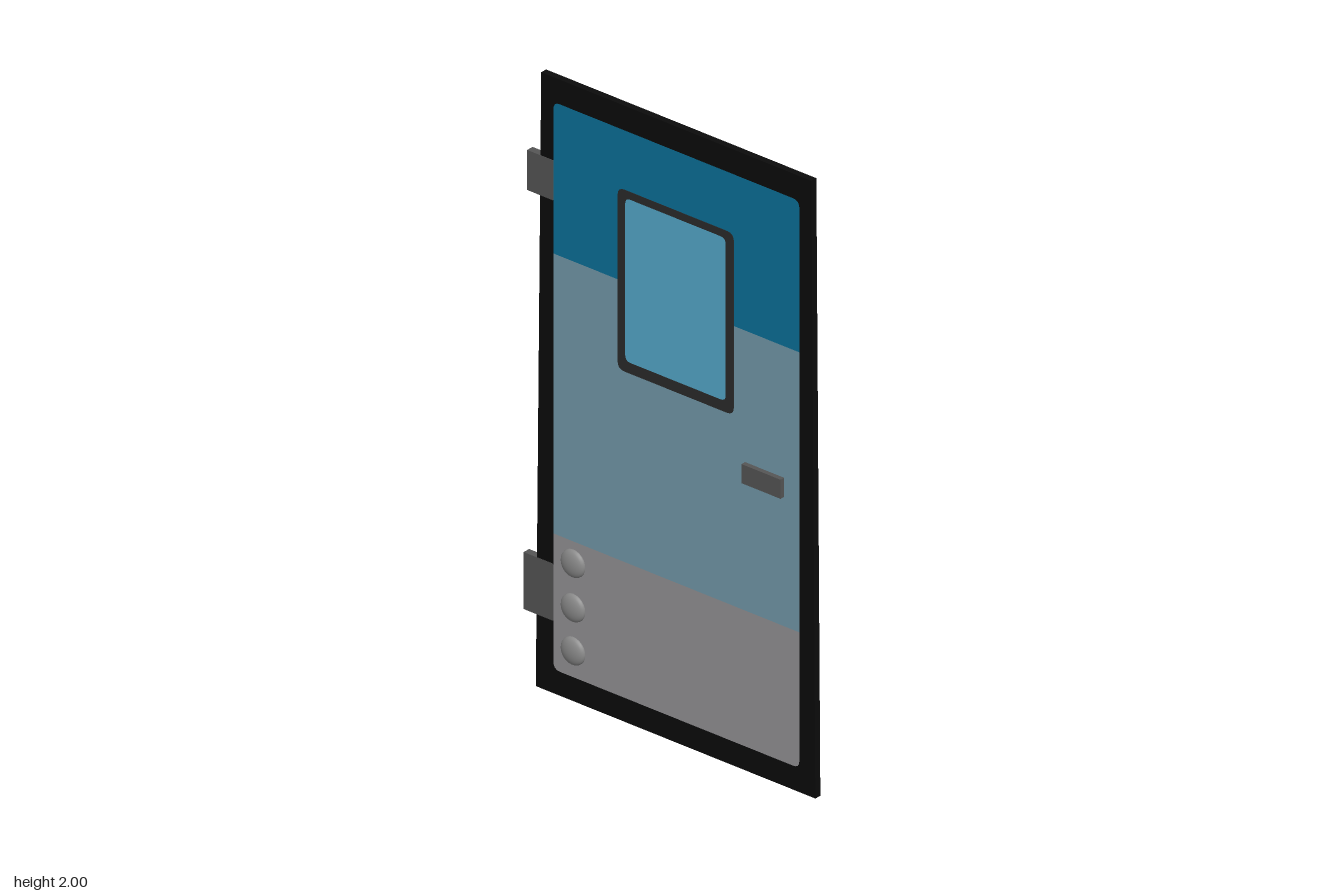
import * as THREE from 'three';

const mat = (name, color) => {
  const m = new THREE.MeshStandardMaterial({ color });
  m.name = name;
  return m;
};

// Rounded rectangle outline from its left, bottom, right and top edges
function roundRect(path, l, b, r, t, c) {
  path.moveTo(l + c, b);
  path.lineTo(r - c, b).quadraticCurveTo(r, b, r, b + c);
  path.lineTo(r, t - c).quadraticCurveTo(r, t, r - c, t);
  path.lineTo(l + c, t).quadraticCurveTo(l, t, l, t - c);
  path.lineTo(l, b + c).quadraticCurveTo(l, b, l + c, b);
  return path;
}

export function createModel() {
  const door = new THREE.Group();
  door.name = 'door';
  const black = mat('black frame', 0x0b0b0b);
  const blue = mat('deep blue', 0x0b719a);
  const pale = mat('pale blue', 0x7399aa);
  const grey = mat('kick plate grey', 0x949396);
  const trim = mat('window trim', 0x2b2b2b);
  const glass = mat('window glass', 0x55a9cb);
  const iron = mat('hinge grey', 0x555555);
  const steel = mat('rivet grey', 0x8a8a8a);
  const midZ = -0.01;

  const add = (name, geometry, material) => {
    const mesh = new THREE.Mesh(geometry, material);
    mesh.name = name;
    door.add(mesh);
    return mesh;
  };
  // Box given by its edges and its back and front z
  const box = (name, l, b, r, t, z0, z1, material) =>
    add(name, new THREE.BoxGeometry(r - l, t - b, z1 - z0), material)
      .position.set((l + r) / 2, (b + t) / 2, (z0 + z1) / 2);
  // Flat shape extruded evenly about the middle of the door
  const slab = (name, shape, depth, material) => {
    const g = new THREE.ExtrudeGeometry(shape, { depth, bevelEnabled: false, curveSegments: 4 });
    g.translate(0, 0, midZ - depth / 2);
    add(name, g, material);
  };

  // Tapered outer frame around the rounded panel opening
  const outer = new THREE.Shape([[-0.505, 0], [0.545, 0], [0.53, 2], [-0.485, 2]]
    .map(([x, y]) => new THREE.Vector2(x, y)));
  outer.holes.push(roundRect(new THREE.Path(), -0.44, 0.077, 0.485, 1.92, 0.025));
  slab('doorFrame', outer, 0.022, black);

  // Three colour bands of the panel, tucked under the frame
  const bands = [['lowerBand', 0.06, 0.518, grey], ['middleBand', 0.518, 1.427, pale],
    ['upperBand', 1.427, 1.94, blue]];
  for (const [name, b, t, m] of bands) box(name, -0.46, b, 0.505, t, midZ - 0.01, midZ + 0.01, m);

  // Window trim and pane, seen from both sides
  const surround = roundRect(new THREE.Shape(), -0.198, 1.137, 0.238, 1.727, 0.025);
  surround.holes.push(roundRect(new THREE.Path(), -0.17, 1.172, 0.208, 1.702, 0.02));
  slab('windowTrim', surround, 0.022, trim);
  box('windowPane', -0.185, 1.155, 0.223, 1.714, midZ - 0.0105, midZ + 0.0105, glass);

  // Hinges wrap the edge on the right-hand side
  box('upperHinge', -0.537, 1.6, -0.44, 1.73, -0.0225, 0.002, iron);
  box('lowerHinge', -0.55, 0.235, -0.44, 0.42, -0.0225, 0.002, iron);

  // Handle plate
  box('handle', 0.28, 0.938, 0.427, 1.0, -0.002, 0.016, iron);

  // Domed rivets
  for (const y of [0.447, 0.303, 0.163]) {
    const dome = new THREE.SphereGeometry(0.045, 24, 8, 0, Math.PI * 2, 0, Math.PI / 2);
    dome.rotateX(Math.PI / 2).scale(1, 1, 0.43);
    add('rivet', dome, steel).position.set(-0.365, y, 0);
  }
  return door;
}
